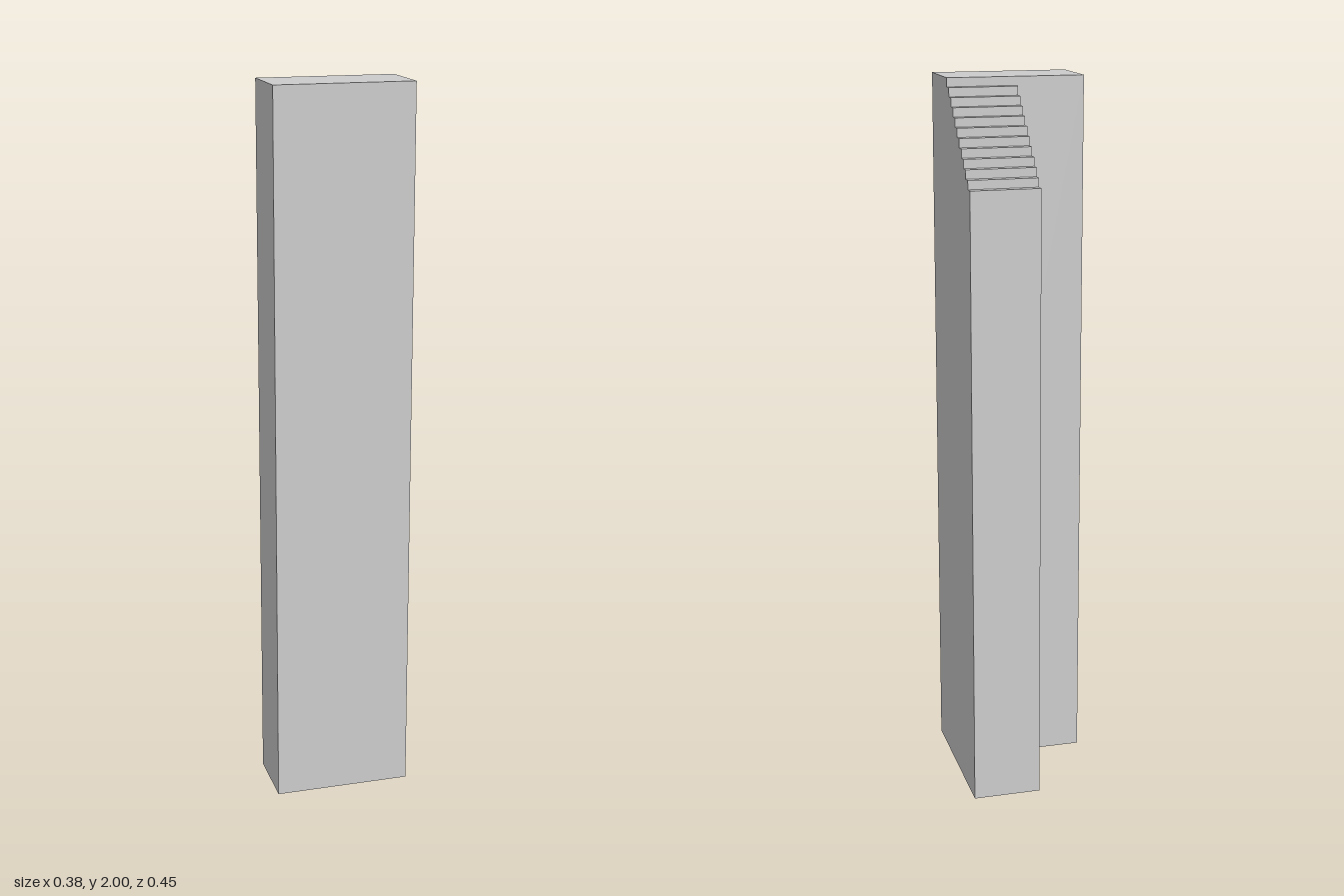
import * as THREE from 'three';

const HALF_WIDTH = 0.191, FRONT = 0.224, SLAB_BACK = 0.037, BACK = -0.225;
const HEIGHT = 2, WING_HEIGHT = 1.735, STEPS = 11;

export function createModel() {
  const group = new THREE.Group();
  const material = new THREE.MeshStandardMaterial({ color: 0xcccccc, flatShading: true });
  const add = (name, geometry) => {
    const mesh = new THREE.Mesh(geometry, material);
    mesh.name = name;
    group.add(mesh);
  };

  // Full-height front slab
  const depth = FRONT - SLAB_BACK;
  add('frontSlab', new THREE.BoxGeometry(2 * HALF_WIDTH, HEIGHT, depth)
    .translate(0, HEIGHT / 2, SLAB_BACK + depth / 2));

  // Rear wing on the left half: side profile (z, y) with a stepped top descending to the back
  const profile = new THREE.Shape();
  profile.moveTo(SLAB_BACK, 0);
  const run = (SLAB_BACK - BACK) / STEPS, rise = (HEIGHT - WING_HEIGHT) / STEPS;
  for (let i = 0; i < STEPS; i++) {
    const y = HEIGHT - (i + 1) * rise;
    profile.lineTo(SLAB_BACK - i * run, y);
    profile.lineTo(SLAB_BACK - (i + 1) * run, y);
  }
  profile.lineTo(BACK, 0);
  profile.closePath();
  add('steppedWing', new THREE.ExtrudeGeometry(profile, { depth: HALF_WIDTH, bevelEnabled: false })
    .rotateY(-Math.PI / 2).translate(HALF_WIDTH, 0, 0));

  return group;
}
